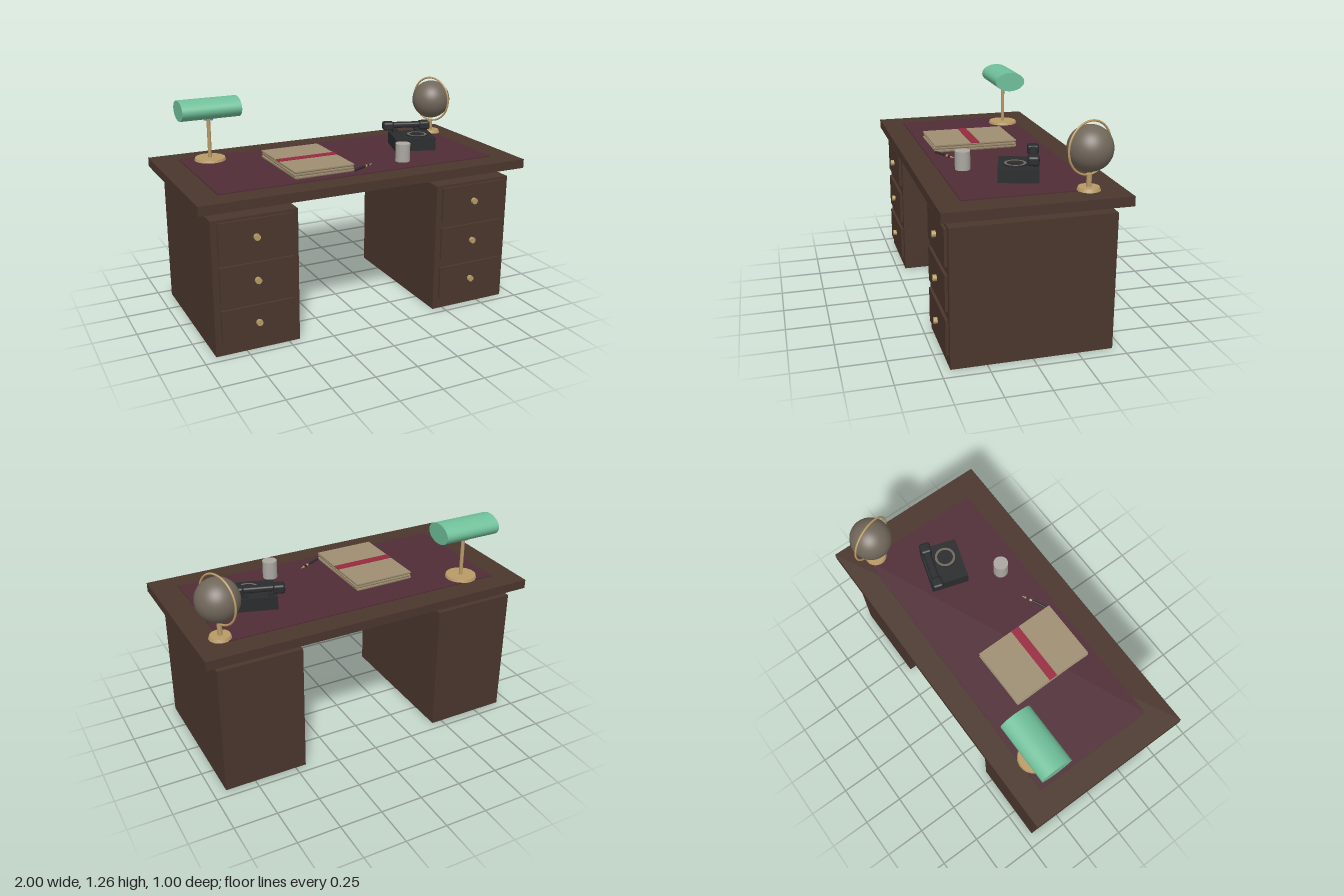
import * as THREE from 'three';
import { RoundedBoxGeometry } from 'three/addons/geometries/RoundedBoxGeometry.js';

const mat = (name, color) => {
  const m = new THREE.MeshStandardMaterial({ color });
  m.name = name;
  return m;
};

export function createModel() {
  const M = {
    wood: mat('dark wood', 0x4a362d),
    leather: mat('wine leather', 0x502c36),
    brass: mat('brass', 0xb89a66),
    green: mat('green glass', 0x70c09a),
    globe: mat('globe taupe', 0x71675b),
    paper: mat('paper', 0x9e8e72),
    red: mat('red ribbon', 0x98293f),
    black: mat('black', 0x2a2b2d),
    grey: mat('light grey', 0xaba7a1),
    edge: mat('page edge', 0x7c6c52),
  };
  const root = new THREE.Group();
  root.name = 'writingDesk';

  const add = (parent, name, geo, material, x = 0, y = 0, z = 0) => {
    const mesh = new THREE.Mesh(geo, material);
    mesh.name = name;
    mesh.position.set(x, y, z);
    parent.add(mesh);
    return mesh;
  };
  const group = (name, x = 0, y = 0, z = 0) => {
    const g = new THREE.Group();
    g.name = name;
    g.position.set(x, y, z);
    root.add(g);
    return g;
  };
  const box = (w, h, d) => new THREE.BoxGeometry(w, h, d);
  const cyl = (r1, r2, h, n = 24) => new THREE.CylinderGeometry(r1, r2, h, n);

  // Desk top with inset writing surface
  add(root, 'deskTop', box(2, 0.053, 1), M.wood, 0, 0.857, 0);
  add(root, 'writingSurface', box(1.7, 0.006, 0.73), M.leather, 0, 0.886, 0);

  // Two pedestals, each with three drawers
  for (const side of [-1, 1]) {
    const p = group(side < 0 ? 'rightPedestal' : 'leftPedestal', side * 0.681);
    add(p, 'cabinet', box(0.49, 0.776, 0.895), M.wood, 0, 0.388, 0);
    for (const y of [0.166, 0.414, 0.661]) {
      add(p, 'drawerFront', box(0.42, 0.2, 0.016), M.wood, 0, y, 0.455);
      add(p, 'drawerKnob', cyl(0.018, 0.018, 0.022, 12), M.brass, 0, y, 0.472).rotation.x = Math.PI / 2;
    }
  }

  // Desk lamp with an oval shade
  const lamp = group('deskLamp', -0.683, 0, -0.286);
  add(lamp, 'lampBase', cyl(0.088, 0.093, 0.017, 32), M.brass, 0, 0.895, 0);
  add(lamp, 'lampPole', cyl(0.011, 0.011, 0.24, 16), M.brass, 0, 1.02, 0);
  add(lamp, 'lampCollar', cyl(0.033, 0.028, 0.016), M.grey, 0, 1.136, 0);
  const shadeGeo = cyl(1, 1, 0.355, 40).rotateZ(Math.PI / 2).scale(1, 0.06, 0.095);
  add(lamp, 'lampShade', shadeGeo, M.green, 0, 1.196, 0);

  // Globe on a brass stand
  const globe = group('globe', 0.846, 0, -0.308);
  add(globe, 'globeBase', cyl(0.056, 0.063, 0.018, 28), M.brass, 0, 0.896, 0);
  add(globe, 'globePost', cyl(0.014, 0.014, 0.075, 16), M.brass, 0, 0.937, 0);
  add(globe, 'globeSphere', new THREE.SphereGeometry(0.121, 40, 28), M.globe, 0, 1.108, 0);
  add(globe, 'globeRing', new THREE.TorusGeometry(0.14, 0.006, 10, 56), M.brass, 0, 1.109, 0)
    .rotation.y = THREE.MathUtils.degToRad(-70);

  // Stacked folders tied with a ribbon
  const stack = group('folderStack', -0.215, 0.889, 0.065);
  [0.012, -0.012, 0.004].forEach((turn, i) => {
    const folder = new THREE.Group();
    folder.name = 'folder';
    folder.position.y = i * 0.0155;
    folder.rotation.y = turn;
    stack.add(folder);
    add(folder, 'pages', box(0.354, 0.008, 0.49), M.edge, 0, 0.006, 0);
    add(folder, 'cover', box(0.362, 0.007, 0.5), M.paper, 0, 0.0125, 0);
  });
  add(stack, 'ribbon', box(0.363, 0.004, 0.052), M.red, 0, 0.0475, 0.002);

  // Pen lying beside the folders
  const pen = group('pen', 0.045, 0.897, 0.272);
  pen.rotation.y = Math.atan2(0.075, 0.15);
  const segment = (name, r1, r2, from, to, m) =>
    add(pen, name, cyl(r1, r2, to - from, 12).rotateZ(-Math.PI / 2), m, (from + to) / 2, 0, 0);
  segment('penBarrel', 0.007, 0.007, -0.085, 0.018, M.black);
  segment('penBand', 0.0075, 0.0075, 0.018, 0.034, M.brass);
  segment('penGrip', 0.005, 0.007, 0.034, 0.055, M.black);
  segment('penNib', 0.001, 0.006, 0.055, 0.085, M.brass);

  // Cup
  add(root, 'cup', cyl(0.043, 0.043, 0.107, 28), M.grey, 0.326, 0.942, 0.232);

  // Dial telephone, turned slightly
  const phone = group('telephone', 0.538, 0.889, -0.026);
  phone.rotation.y = -0.3;
  add(phone, 'phoneBody', box(0.25, 0.077, 0.22), M.black, 0, 0.0385, 0);
  add(phone, 'dialPlate', cyl(0.064, 0.064, 0.008, 32), M.black, 0.028, 0.08, 0.018);
  add(phone, 'dialRing', new THREE.RingGeometry(0.046, 0.06, 32).rotateX(-Math.PI / 2),
    M.globe, 0.028, 0.0845, 0.018);
  add(phone, 'dialHub', cyl(0.02, 0.02, 0.004, 20), M.black, 0.028, 0.085, 0.018);
  for (const s of [-1, 1]) {
    add(phone, 'cradle', box(0.03, 0.022, 0.04), M.black, -0.02 + s * 0.07, 0.086, -0.078);
    add(phone, 'handsetEnd', new RoundedBoxGeometry(0.068, 0.053, 0.064, 3, 0.014), M.black,
      -0.02 + s * 0.114, 0.118, -0.078);
  }
  add(phone, 'handsetGrip', new RoundedBoxGeometry(0.2, 0.034, 0.044, 3, 0.012), M.black, -0.02, 0.122, -0.078);

  return root;
}
